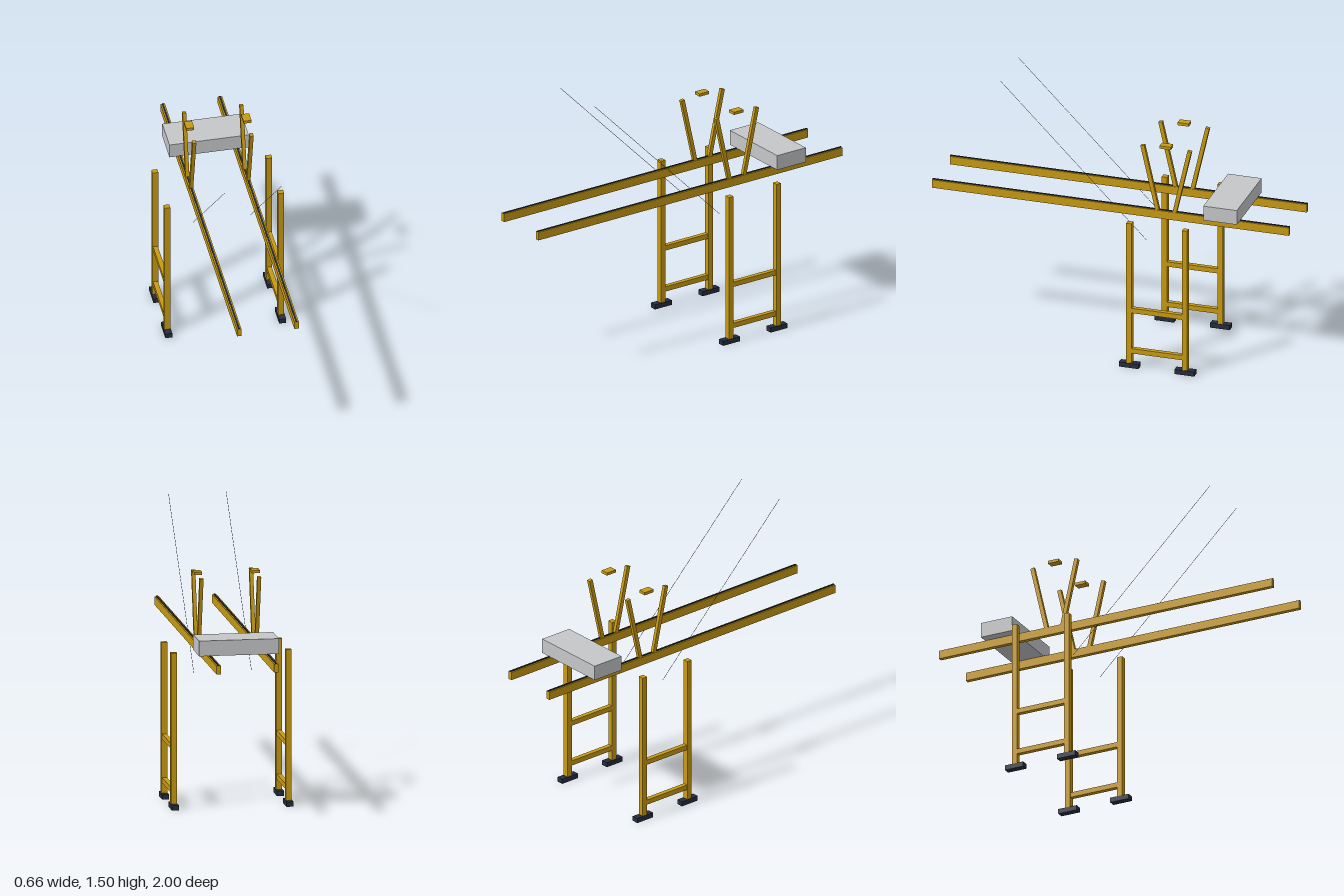
import * as THREE from 'three';

export function createModel() {
  const model = new THREE.Group();
  model.name = 'launchingGantry';

  const mat = (name, color) => {
    const m = new THREE.MeshStandardMaterial({ color });
    m.name = name;
    return m;
  };
  const yellow = mat('yellowSteel', 0xc99b12);
  const dark = mat('darkSteel', 0x252d3d);
  const grey = mat('greyConcrete', 0xc5c7c9);

  const box = (name, material, size, pos, parent = model) => {
    const mesh = new THREE.Mesh(new THREE.BoxGeometry(...size), material);
    mesh.name = name;
    mesh.position.set(...pos);
    parent.add(mesh);
    return mesh;
  };

  // Lays a geometry whose length runs along y between two points in a plane of constant x
  const span = (name, material, makeGeometry, x, [y0, z0], [y1, z1]) => {
    const mesh = new THREE.Mesh(makeGeometry(Math.hypot(y1 - y0, z1 - z0)), material);
    mesh.name = name;
    mesh.position.set(x, (y0 + y1) / 2, (z0 + z1) / 2);
    mesh.rotation.x = Math.atan2(z1 - z0, y1 - y0);
    model.add(mesh);
  };
  const strut = (length) => new THREE.BoxGeometry(0.02, length, 0.022);
  const wire = (length) => new THREE.CylinderGeometry(0.001, 0.001, length, 6);

  const midZ = -0.31;

  for (const side of [1, -1]) {
    const label = side > 0 ? 'left' : 'right';
    const gx = side * 0.156;
    const lx = side * 0.31;

    // Main girder with a narrow rail on top
    box(label + 'Girder', yellow, [0.024, 0.046, 2], [gx, 0.847, 0]);
    box(label + 'Rail', dark, [0.009, 0.004, 2], [gx, 0.872, 0]);

    // Splayed mast struts and the cap between them
    for (const d of [1, -1]) {
      span(label + (d > 0 ? 'FrontStrut' : 'BackStrut'), yellow, strut, gx,
        [0.868, midZ + d * 0.048], [1.238, midZ + d * 0.132]);
    }
    box(label + 'MastCap', yellow, [0.043, 0.016, 0.063], [gx, 1.247, midZ]);

    // Stay cable
    span(label + 'Cable', dark, wire, gx, [0.68, -0.2], [1.5, 0.62]);

    // Support tower: two posts on feet, joined by crossbars
    const tower = new THREE.Group();
    tower.name = label + 'Tower';
    model.add(tower);
    for (const d of [1, -1]) {
      const z = midZ + d * 0.156;
      box('post', yellow, [0.032, 0.819, 0.03], [lx, 0.4365, z], tower);
      box('foot', dark, [0.038, 0.027, 0.11], [lx, 0.0135, z], tower);
    }
    for (const y of [0.098, 0.335]) {
      box('crossbar', yellow, [0.026, 0.028, 0.29], [lx, y, midZ], tower);
    }
  }

  // Deck segment resting across the girders
  box('deckSegment', grey, [0.432, 0.083, 0.188], [0, 0.913, -0.63]);

  return model;
}
